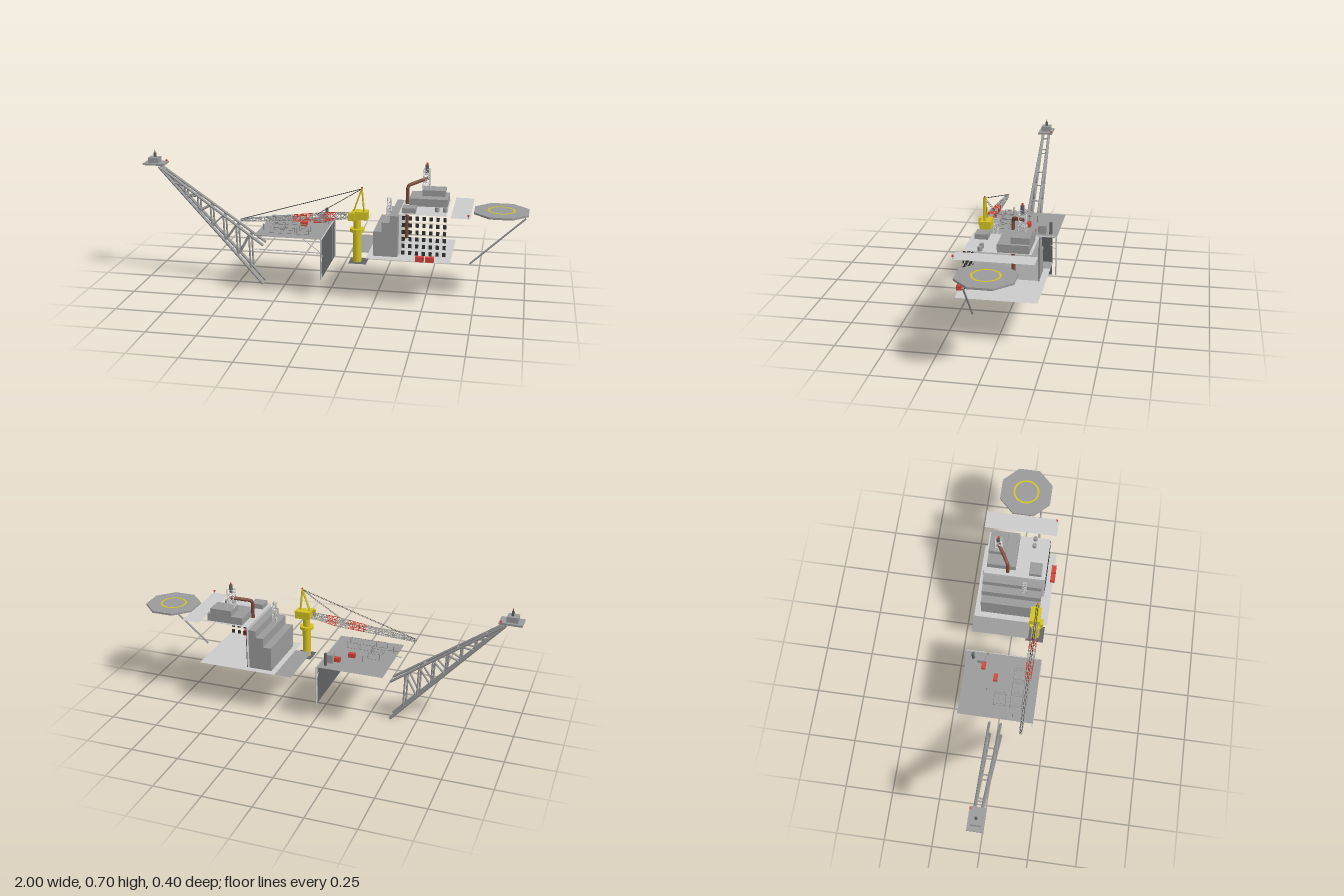
import * as THREE from 'three';

const mat = (color) => new THREE.MeshStandardMaterial({ color, side: THREE.DoubleSide, flatShading: true });
const LIGHT = mat(0xcccccc), GREY = mat(0x9a9a9a), DARK = mat(0x606264), BLACK = mat(0x303234);
const YELLOW = mat(0xd2c222), RED = mat(0xd04538), BROWN = mat(0x7a4a3a);
const V = (x, y, z) => new THREE.Vector3(x, y, z);

export function createModel() {
  const root = new THREE.Group();

  const group = (name) => {
    const g = new THREE.Group();
    g.name = name;
    root.add(g);
    return g;
  };
  const add = (parent, name, geo, material) => {
    const m = new THREE.Mesh(geo, material);
    m.name = name;
    parent.add(m);
    return m;
  };
  // box given by its min and max corners
  const box = (p, name, x0, x1, y0, y1, z0, z1, m) => {
    const b = add(p, name, new THREE.BoxGeometry(x1 - x0, y1 - y0, z1 - z0), m);
    b.position.set((x0 + x1) / 2, (y0 + y1) / 2, (z0 + z1) / 2);
  };
  // thin horizontal sheet
  const sheet = (p, name, x0, x1, z0, z1, y, m) => {
    const s = add(p, name, new THREE.PlaneGeometry(x1 - x0, z1 - z0).rotateX(-Math.PI / 2), m);
    s.position.set((x0 + x1) / 2, y, (z0 + z1) / 2);
  };
  // thin wall facing +x
  const wall = (p, name, x, y0, y1, z0, z1, m) => {
    const s = add(p, name, new THREE.PlaneGeometry(z1 - z0, y1 - y0).rotateY(Math.PI / 2), m);
    s.position.set(x, (y0 + y1) / 2, (z0 + z1) / 2);
  };
  const cyl = (p, name, x, y0, y1, z, r, m, n = 12, rTop = r) => {
    const c = add(p, name, new THREE.CylinderGeometry(rTop, r, y1 - y0, n), m);
    c.position.set(x, (y0 + y1) / 2, z);
  };
  // bar between two points
  const bar = (p, name, a, b, r, m, n = 6) => {
    const d = b.clone().sub(a);
    const c = add(p, name, new THREE.CylinderGeometry(r, r, d.length(), n), m);
    c.position.copy(a).addScaledVector(d, 0.5);
    c.quaternion.setFromUnitVectors(V(0, 1, 0), d.normalize());
  };
  // square lattice between two centre points, with half widths at both ends
  const lattice = (p, name, a, b, u, v, wa, wb, n, r, colour) => {
    const corner = (i, t) => a.clone().lerp(b, t)
      .addScaledVector(u, (i === 0 || i === 3 ? -1 : 1) * THREE.MathUtils.lerp(wa, wb, t))
      .addScaledVector(v, (i < 2 ? -1 : 1) * THREE.MathUtils.lerp(wa, wb, t));
    for (let k = 0; k < n; k++) {
      for (let i = 0; i < 4; i++) {
        const j = (i + 1) % 4, m = colour(k);
        bar(p, name + 'Chord', corner(i, k / n), corner(i, (k + 1) / n), r, m, 4);
        bar(p, name + 'Brace', corner(k % 2 ? i : j, k / n), corner(k % 2 ? j : i, (k + 1) / n), r * 0.7, m, 4);
        bar(p, name + 'Rung', corner(i, (k + 1) / n), corner(j, (k + 1) / n), r * 0.7, m, 4);
      }
    }
  };

  // flare boom: four converging chords with zigzag bracing
  const flare = group('flareBoom');
  const zc = -0.008;
  const upper = (t, s) => V(-0.36 - 0.55 * t, 0.222 + 0.39 * t, zc + s * (0.03 - 0.013 * t));
  const lower = (t, s) => V(-0.364 - 0.556 * t, 0.008 + 0.61 * t, zc + s * (0.03 - 0.013 * t));
  for (const s of [-1, 1]) {
    bar(flare, 'upperChord', upper(0, s), upper(1, s), 0.007, GREY);
    bar(flare, 'lowerChord', lower(0, s), lower(1, s), 0.008, GREY);
    for (let k = 0; k < 6; k++) {
      const t = 0.12 + k * 0.125;
      bar(flare, 'postBrace', lower(t, s), upper(t + 0.02, s), 0.005, GREY);
      bar(flare, 'diagonalBrace', upper(t + 0.02, s), lower(t + 0.125, s), 0.005, GREY);
    }
  }
  for (const t of [0.3, 0.6, 0.85, 0.97]) {
    bar(flare, 'upperRung', upper(t, -1), upper(t, 1), 0.004, GREY);
    bar(flare, 'lowerRung', lower(t, -1), lower(t, 1), 0.004, GREY);
  }
  box(flare, 'tipPlatform', -1, -0.885, 0.628, 0.638, -0.047, 0.033, GREY);
  box(flare, 'tipHousing', -0.975, -0.92, 0.638, 0.666, -0.032, 0.019, GREY);
  cyl(flare, 'burner', -0.945, 0.666, 0.688, zc, 0.007, DARK);
  cyl(flare, 'burnerTip', -0.945, 0.688, 0.705, zc, 0.004, BROWN, 8, 0.001);
  box(flare, 'tipLight', -0.9, -0.892, 0.638, 0.646, -0.046, -0.038, RED);

  // work deck with its end wall and supports
  const deck = group('workDeck');
  const dy = 0.325;
  sheet(deck, 'deckFloor', -0.365, -0.018, -0.203, 0.187, dy, GREY);
  wall(deck, 'endWall', -0.018, 0.112, dy, -0.18, 0.168, DARK);
  bar(deck, 'wallPipe', V(-0.015, 0.112, -0.12), V(-0.015, dy, -0.12), 0.002, LIGHT);
  for (const [z, inner, ya, yb] of [[0.185, 0.155, 0.185, 0.235], [-0.2, -0.17, 0.255, 0.28]]) {
    bar(deck, 'deckColumn', V(-0.018, 0.112, z), V(-0.018, dy, z), 0.004, LIGHT, 8);
    bar(deck, 'columnBrace', V(-0.018, ya, z), V(-0.018, yb, inner), 0.002, LIGHT);
  }
  bar(deck, 'deckEdgeBeam', V(-0.018, dy - 0.002, -0.203), V(-0.018, dy - 0.002, 0.187), 0.003, LIGHT);
  bar(deck, 'lowerRail', V(-0.36, 0.255, 0.185), V(-0.018, 0.255, 0.185), 0.003, LIGHT);
  bar(deck, 'railBrace', V(-0.11, dy, 0.185), V(-0.018, 0.255, 0.185), 0.003, LIGHT);
  // open crate frames
  for (const [x, z] of [[-0.295, 0.06], [-0.225, 0.06], [-0.155, 0.06], [-0.295, -0.025]]) {
    const w = 0.06, h = dy + 0.033;
    for (const [a, b, c, d] of [[0, 0, 1, 0], [1, 0, 1, 1], [1, 1, 0, 1], [0, 1, 0, 0]]) {
      for (const y of [dy + 0.002, h]) bar(deck, 'crateRail', V(x + a * w, y, z + b * w), V(x + c * w, y, z + d * w), 0.002, GREY, 4);
      bar(deck, 'cratePost', V(x + a * w, dy, z + b * w), V(x + a * w, h, z + b * w), 0.002, GREY, 4);
    }
  }
  box(deck, 'redContainer', -0.17, -0.133, dy, dy + 0.022, -0.045, -0.024, RED);
  box(deck, 'redContainer', -0.113, -0.075, dy, dy + 0.022, -0.116, -0.094, RED);
  box(deck, 'deckCabin', -0.082, -0.046, dy, dy + 0.045, -0.14, -0.102, GREY);
  box(deck, 'cornerPlate', -0.364, -0.3, dy, dy + 0.004, 0.1, 0.182, GREY);
  cyl(deck, 'deckStack', -0.055, dy, dy + 0.065, -0.165, 0.008, DARK);
  for (const [x, z] of [[-0.22, -0.07], [-0.03, -0.09], [-0.34, 0.08]]) cyl(deck, 'deckPost', x, dy, dy + 0.035, z, 0.003, GREY, 6);

  // crane
  const crane = group('crane');
  const cx = 0.158, cz = 0.134;
  sheet(crane, 'craneFooting', 0.12, 0.21, 0.085, 0.18, 0.207, DARK);
  cyl(crane, 'pedestal', cx, 0.207, 0.365, cz, 0.022, YELLOW);
  cyl(crane, 'collar', cx, 0.365, 0.381, cz, 0.037, YELLOW);
  cyl(crane, 'neck', cx, 0.381, 0.43, cz, 0.019, YELLOW);
  box(crane, 'machineryHouse', 0.13, 0.212, 0.43, 0.47, 0.1, 0.155, YELLOW);
  box(crane, 'operatorCab', 0.118, 0.15, 0.427, 0.467, 0.155, 0.173, YELLOW);
  for (const z of [-0.004, 0.004]) {
    bar(crane, 'mastFrontLeg', V(0.14, 0.47, cz + z), V(0.18, 0.588, cz + z), 0.004, YELLOW);
    bar(crane, 'mastRearLeg', V(0.192, 0.47, cz + z), V(0.18, 0.588, cz + z), 0.004, YELLOW);
    bar(crane, 'boomCable', V(0.18, 0.585, cz + z), V(-0.44, 0.396, cz + z), 0.001, BLACK, 4);
    bar(crane, 'middleCable', V(0.18, 0.585, cz + z), V(-0.05, 0.44, cz + z), 0.001, BLACK, 4);
  }
  cyl(crane, 'mastLight', 0.18, 0.586, 0.594, cz, 0.004, RED, 8);
  lattice(crane, 'boom', V(0.13, 0.447, cz), V(-0.01, 0.43, cz), V(0, 1, 0), V(0, 0, 1), 0.01, 0.018, 5, 0.002, (k) => (k > 2 ? RED : GREY));
  lattice(crane, 'boom', V(-0.01, 0.43, cz), V(-0.445, 0.39, cz), V(0, 1, 0), V(0, 0, 1), 0.018, 0.006, 14, 0.002, (k) => (k > 1 && k < 5 ? RED : GREY));
  bar(crane, 'hookLine', V(-0.435, 0.388, cz), V(-0.435, 0.37, cz), 0.001, BLACK, 4);

  // accommodation block
  const house = group('accommodationBlock');
  sheet(house, 'baseFloor', 0.21, 0.63, -0.203, 0.19, 0.242, LIGHT);
  sheet(house, 'baseApron', 0.12, 0.21, -0.203, 0.1, 0.242, GREY);
  wall(house, 'innerWall', 0.37, 0.242, 0.47, -0.17, 0.153, LIGHT);
  sheet(house, 'roof', 0.365, 0.602, -0.17, 0.153, 0.47, LIGHT);
  sheet(house, 'walkway', 0.625, 0.72, -0.203, 0.182, 0.472, LIGHT);
  bar(house, 'cornerPost', V(0.374, 0.242, -0.17), V(0.374, 0.47, -0.17), 0.002, DARK);
  // stepped terraces
  for (const [x0, x1, top] of [[0.24, 0.282, 0.37], [0.282, 0.322, 0.418], [0.322, 0.362, 0.455]])
    box(house, 'terrace', x0, x1, 0.242, top, -0.17, 0.14, GREY);
  // window grid
  for (let c = 0; c < 7; c++)
    for (let r = 0; r < 6; r++) {
      const x = 0.392 + c * 0.034, y = 0.272 + r * 0.036;
      box(house, 'window', x - 0.008, x + 0.008, y - 0.01, y + 0.01, 0.15, 0.154, BLACK);
    }
  for (const x of [0.458, 0.508]) box(house, 'lifeboat', x, x + 0.042, 0.243, 0.268, 0.175, 0.2, RED);
  // roof equipment
  box(house, 'lowerPlantRoom', 0.4, 0.595, 0.47, 0.51, -0.157, -0.007, GREY);
  box(house, 'upperPlantRoom', 0.46, 0.577, 0.51, 0.54, -0.157, -0.067, GREY);
  box(house, 'roofCabin', 0.38, 0.447, 0.47, 0.496, 0.065, 0.13, GREY);
  for (const x of [0.55, 0.59]) cyl(house, 'roofVent', x, 0.47, 0.492, 0.073, 0.011, GREY);
  cyl(house, 'walkwayLight', 0.71, 0.472, 0.484, 0.173, 0.002, GREY, 6);
  box(house, 'walkwayLamp', 0.706, 0.714, 0.483, 0.491, 0.169, 0.177, RED);

  // lattice masts
  const masts = group('masts');
  lattice(masts, 'radioMast', V(0.478, 0.54, -0.107), V(0.478, 0.642, -0.107), V(1, 0, 0), V(0, 0, 1), 0.018, 0.015, 4, 0.002, () => LIGHT);
  cyl(masts, 'mastDrum', 0.478, 0.622, 0.665, -0.107, 0.009, DARK);
  cyl(masts, 'mastBeacon', 0.478, 0.665, 0.675, -0.107, 0.005, RED, 8);
  lattice(masts, 'terraceMast', V(0.307, 0.418, 0.053), V(0.307, 0.526, 0.053), V(1, 0, 0), V(0, 0, 1), 0.011, 0.009, 5, 0.0015, () => LIGHT);

  // exhaust pipe
  const path = new THREE.CurvePath();
  const pts = [V(0.387, 0.287, -0.047), V(0.387, 0.555, -0.047), V(0.395, 0.568, -0.052), V(0.482, 0.594, -0.108)];
  for (let i = 0; i < 3; i++) path.add(new THREE.LineCurve3(pts[i], pts[i + 1]));
  add(root, 'exhaustPipe', new THREE.TubeGeometry(path, 40, 0.009, 10), BROWN);

  // helicopter deck
  const heli = group('helideck');
  const plate = add(heli, 'helideckPlate', new THREE.CylinderGeometry(0.146, 0.146, 0.01, 8).rotateY(Math.PI / 8), GREY);
  plate.position.set(0.865, 0.464, -0.012);
  const ring = add(heli, 'landingCircle', new THREE.RingGeometry(0.06, 0.07, 40).rotateX(-Math.PI / 2), YELLOW);
  ring.position.set(0.865, 0.47, -0.012);
  bar(heli, 'helideckStrut', V(0.72, 0.21, 0.084), V(0.986, 0.456, 0.064), 0.005, GREY);

  return root;
}
